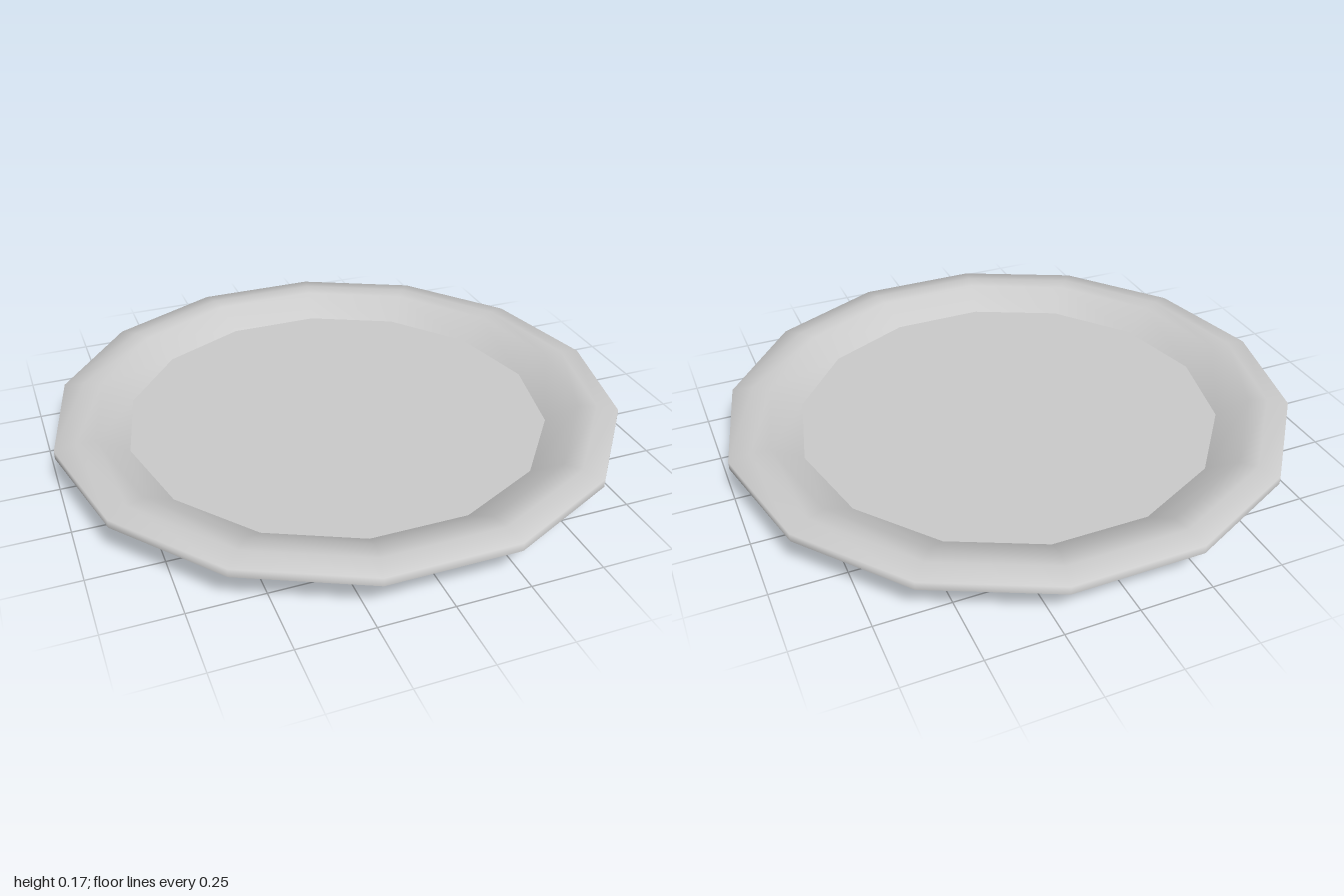
import * as THREE from 'three';

const SIDES = 14;

export function createModel() {
  const model = new THREE.Group();
  model.name = 'plate';
  const material = new THREE.MeshStandardMaterial({ color: 0xcccccc });

  // Each part is turned from [radius, height] points; parts meet at sharp edges.
  const turn = (name, profile) => {
    const points = profile.map(([r, y]) => new THREE.Vector2(r, y));
    const mesh = new THREE.Mesh(new THREE.LatheGeometry(points, SIDES, Math.PI / 2), material);
    mesh.name = name;
    model.add(mesh);
  };

  // Shallow base sloping out to the rim
  turn('underside', [[0, 0], [0.47, 0], [0.66, 0.037], [1, 0.125]]);
  // Outer edge, rounded crown and inner slope
  turn('rim', [[1, 0.125], [1, 0.154], [0.925, 0.166], [0.86, 0.164], [0.75, 0.098]]);
  // Flat eating surface
  turn('floor', [[0.75, 0.098], [0, 0.098]]);

  return model;
}
